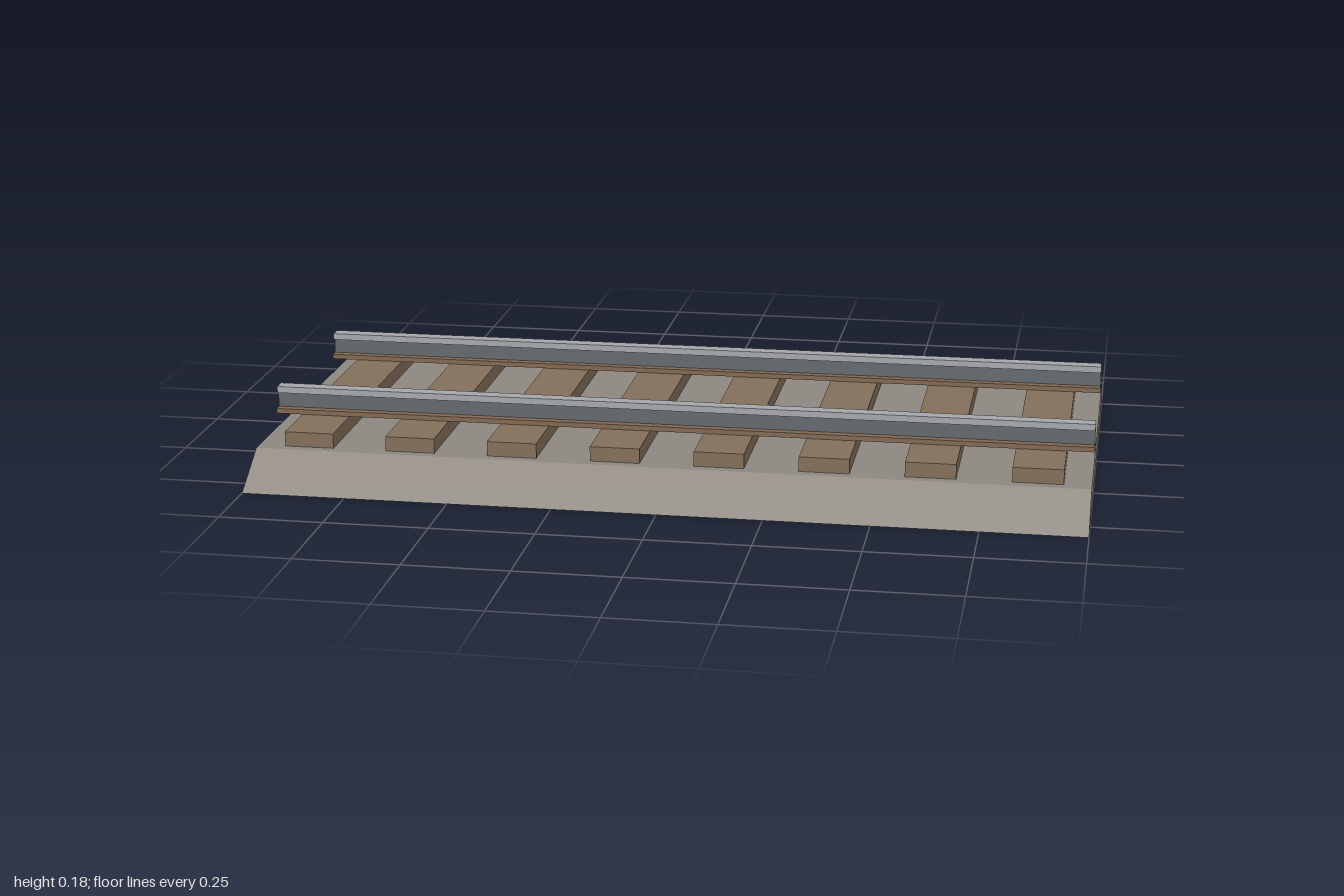
import * as THREE from 'three';

const material = (name, color) => {
  const m = new THREE.MeshStandardMaterial({ color });
  m.name = name;
  return m;
};

export function createModel() {
  const gravel = material('gravel grey', 0x8f8982);
  const wood = material('sleeper brown', 0x86715c);
  const rust = material('rusty brown', 0x846a54);
  const steel = material('dark steel', 0x666b71);
  const polished = material('polished steel', 0xa8aaae);

  const track = new THREE.Group();
  track.name = 'railwayTrack';

  // Box placed by its bottom and top heights
  const addBox = (parent, name, mat, width, bottom, top, depth, x, z) => {
    const mesh = new THREE.Mesh(new THREE.BoxGeometry(width, top - bottom, depth), mat);
    mesh.name = name;
    mesh.position.set(x, (bottom + top) / 2, z);
    parent.add(mesh);
  };

  // Ballast bed: trapezoid section extruded along the track
  const section = new THREE.Shape([
    new THREE.Vector2(-0.574, 0),
    new THREE.Vector2(0.574, 0),
    new THREE.Vector2(0.45, 0.075),
    new THREE.Vector2(-0.45, 0.075),
  ]);
  const bedGeometry = new THREE.ExtrudeGeometry(section, { depth: 2, bevelEnabled: false });
  bedGeometry.translate(0, 0, -1).rotateY(Math.PI / 2);
  const bed = new THREE.Mesh(bedGeometry, gravel);
  bed.name = 'ballastBed';
  track.add(bed);

  // Eight evenly spaced sleepers
  for (let i = 0; i < 8; i++) {
    addBox(track, `sleeper${i + 1}`, wood, 0.12, 0.075, 0.111, 0.85, -0.875 + i * 0.25, 0);
  }

  // Two rails, each with foot, web and head
  for (const side of [-1, 1]) {
    const rail = new THREE.Group();
    rail.name = side > 0 ? 'frontRail' : 'backRail';
    rail.position.z = side * 0.25;
    addBox(rail, 'railFoot', rust, 2, 0.111, 0.123, 0.058, 0, 0);
    addBox(rail, 'railWeb', steel, 2, 0.123, 0.16, 0.016, 0, 0);
    addBox(rail, 'railHead', polished, 2, 0.16, 0.176, 0.034, 0, 0);
    track.add(rail);
  }

  return track;
}
